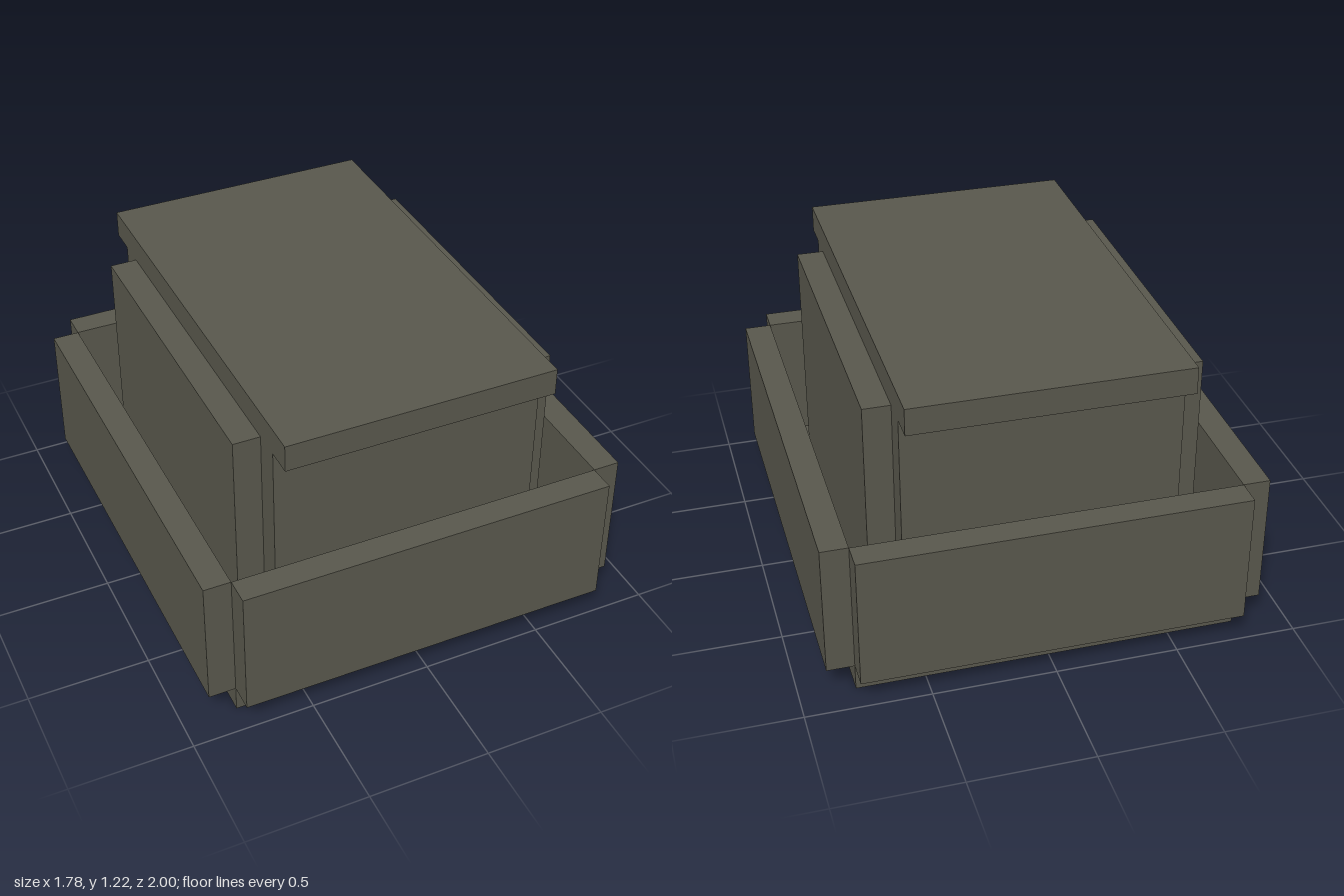
import * as THREE from 'three';

const U = 1 / 9; // grid unit

export function createModel() {
  const model = new THREE.Group();
  model.name = 'liddedBox';
  const stone = new THREE.MeshStandardMaterial({ color: 0x58574c });
  stone.name = 'darkOlive';

  // Box given by its minimum and maximum corners in grid units
  function slab(name, [x0, y0, z0], [x1, y1, z1]) {
    const geometry = new THREE.BoxGeometry((x1 - x0) * U, (y1 - y0) * U, (z1 - z0) * U);
    const mesh = new THREE.Mesh(geometry, stone);
    mesh.name = name;
    mesh.position.set(x0 + x1, y0 + y1, z0 + z1).multiplyScalar(U / 2);
    model.add(mesh);
  }

  // Four panels standing around a rectangle, leaving the corners notched
  function panelRing(name, halfX, halfZ, bottom, top) {
    slab(name + 'Front', [-halfX, bottom, halfZ], [halfX, top, halfZ + 1]);
    slab(name + 'Back', [-halfX, bottom, -halfZ - 1], [halfX, top, -halfZ]);
    slab(name + 'Left', [halfX, bottom, -halfZ], [halfX + 1, top, halfZ]);
    slab(name + 'Right', [-halfX - 1, bottom, -halfZ], [-halfX, top, halfZ]);
  }

  // Open tray
  slab('base', [-7, 0, -8], [7, 1, 8]);
  panelRing('outerWall', 7, 8, 1, 6);

  // Inner box with its overhanging lid
  panelRing('innerWall', 5, 6, 1, 10);
  slab('lid', [-5, 10, -8], [5, 11, 8]);

  return model;
}
